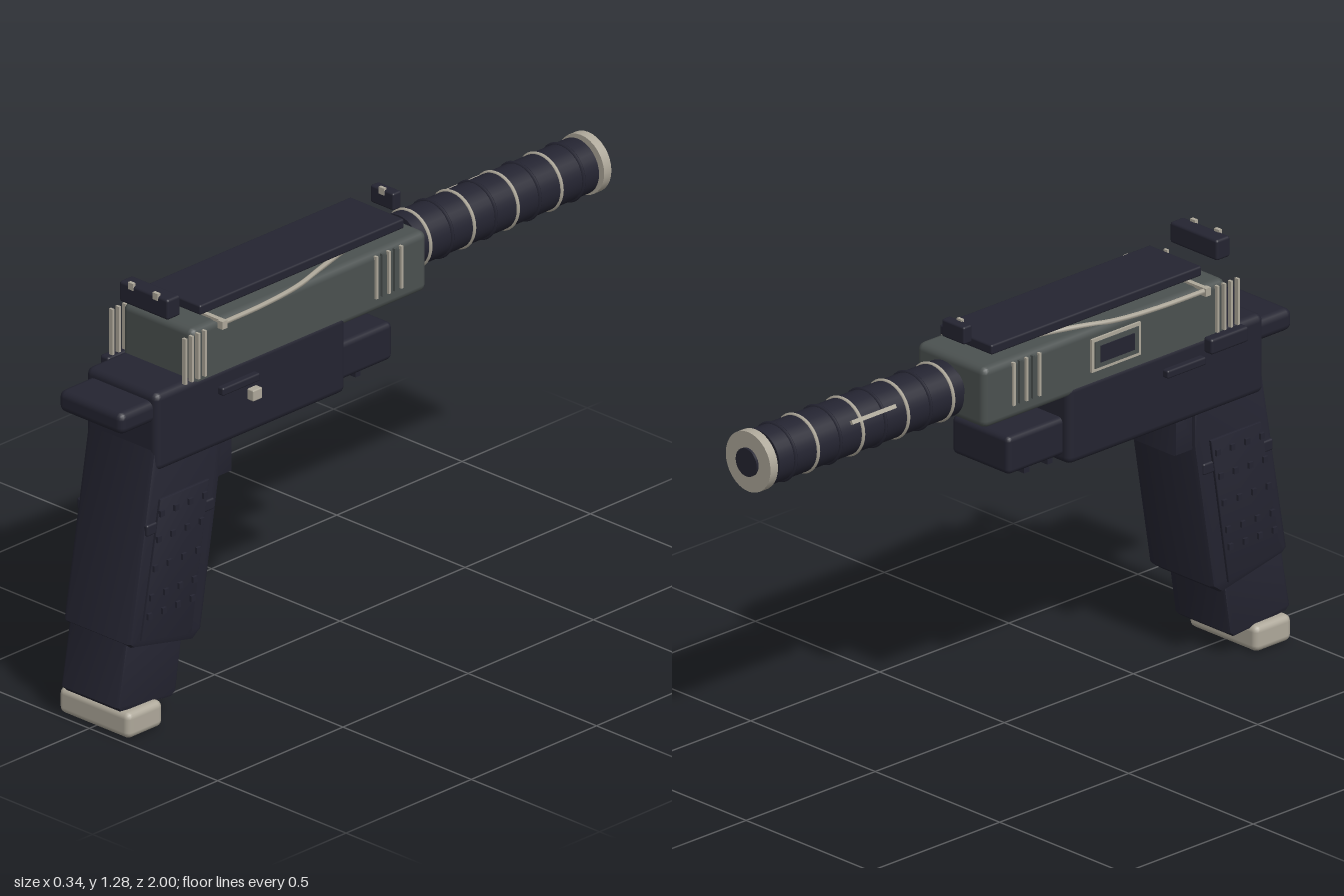
import * as THREE from 'three';
import { RoundedBoxGeometry } from 'three/addons/geometries/RoundedBoxGeometry.js';
import { toCreasedNormals } from 'three/addons/utils/BufferGeometryUtils.js';

const mat = (name, color) => {
  const m = new THREE.MeshStandardMaterial({ color });
  m.name = name;
  return m;
};

export function createModel() {
  const root = new THREE.Group();
  root.name = 'prop';
  const navy = mat('dark navy', 0x242431);
  const grey = mat('slate grey', 0x4b5150);
  const light = mat('warm light grey', 0xaea89a);

  const add = (name, geo, m) => {
    const mesh = new THREE.Mesh(geo, m);
    mesh.name = name;
    root.add(mesh);
    return mesh;
  };
  // Box from its limits on each axis, rounded when r is given
  const box = (name, m, [x0, x1], [y0, y1], [z0, z1], r = 0) => {
    const s = [x1 - x0, y1 - y0, z1 - z0];
    const g = r ? new RoundedBoxGeometry(...s, 2, r) : new THREE.BoxGeometry(...s);
    g.translate((x0 + x1) / 2, (y0 + y1) / 2, (z0 + z1) / 2);
    return add(name, g, m);
  };
  // Side profile of (z, y) points, extruded across x with a bevel
  const profile = (name, m, pts, x0, x1, b = 0.012) => {
    const shape = new THREE.Shape(pts.map(p => new THREE.Vector2(...p)));
    let g = new THREE.ExtrudeGeometry(shape, {
      depth: x1 - x0 - 2 * b, bevelEnabled: true, bevelThickness: b,
      bevelSize: b, bevelOffset: -b, bevelSegments: 2,
    });
    g.translate(0, 0, b - (x1 - x0) / 2);
    g.rotateY(-Math.PI / 2);
    g.translate((x0 + x1) / 2, 0, 0);
    return add(name, toCreasedNormals(g, 0.6), m);
  };
  // Cylinder along z on the barrel axis
  const axisY = 1.085;
  const tube = (name, m, r, z0, z1) => {
    const g = new THREE.CylinderGeometry(r, r, z1 - z0, 32);
    g.rotateX(Math.PI / 2);
    g.translate(0, axisY, (z0 + z1) / 2);
    return add(name, g, m);
  };
  // Small box standing out from one side
  const sideBox = (name, m, s, xIn, xOut, y, z, r) =>
    box(name, m, s > 0 ? [xIn, xOut] : [-xOut, -xIn], y, z, r);

  // Upper body
  box('slide', grey, [-0.138, 0.138], [0.99, 1.175], [-0.21, 0.73], 0.022);
  box('topPlate', navy, [-0.105, 0.105], [1.19, 1.22], [-0.15, 0.665], 0.006);
  box('rearSight', navy, [-0.095, 0.095], [1.21, 1.273], [0.732, 0.785], 0.008);
  box('rearSightBase', navy, [-0.105, 0.105], [1.19, 1.218], [0.62, 0.66], 0.006);
  box('frontSight', navy, [-0.045, 0.045], [1.217, 1.27], [-0.2, -0.167], 0.006);
  for (const x of [-0.048, 0.048])
    box('rearSightDot', light, [x - 0.01, x + 0.01], [1.26, 1.281], [0.776, 0.787]);
  box('frontSightDot', light, [-0.01, 0.01], [1.255, 1.276], [-0.175, -0.165]);

  // Frame and rail block
  box('frame', navy, [-0.14, 0.14], [0.785, 1.025], [0.115, 0.875], 0.022);
  box('rearTail', navy, [-0.125, 0.125], [0.933, 1.0], [0.8, 1.0], 0.022);
  box('railBlock', navy, [-0.115, 0.115], [0.81, 0.925], [-0.095, 0.15], 0.016);
  for (const z of [0.01, 0.1])
    box('railRidge', navy, [-0.08, 0.08], [0.78, 0.8 + 0.02], [z - 0.01, z + 0.01]);
  for (const z of [0.17, 0.23, 0.29])
    box('lowerRidge', navy, [-0.08, 0.08], [0.777, 0.8], [z - 0.01, z + 0.01]);
  profile('guardBlock', navy,
    [[0.55, 0.82], [0.55, 0.68], [0.64, 0.68], [0.64, 0.73], [0.72, 0.73], [0.72, 0.82]],
    -0.12, 0.12, 0.008);

  // Grip, magazine and foot
  profile('grip', navy,
    [[0.875, 0.85], [0.972, 0.285], [0.955, 0.27], [0.72, 0.22], [0.685, 0.245], [0.61, 0.7], [0.61, 0.85]],
    -0.133, 0.133, 0.016);
  profile('magazine', navy,
    [[0.955, 0.35], [1.0, 0.095], [0.985, 0.08], [0.785, 0.062], [0.768, 0.075], [0.73, 0.32]],
    -0.113, 0.113, 0.01);
  box('foot', light, [-0.138, 0.138], [0, 0.08], [0.843, 0.985], 0.02);
  box('gripBand', navy, [-0.138, 0.138], [0.6, 0.635], [0.64, 0.91], 0.006);

  // Details on both sides
  for (const s of [1, -1]) {
    const x0 = s > 0 ? 0.128 : -0.141;
    profile('gripPanel', navy,
      [[0.86, 0.7], [0.935, 0.29], [0.735, 0.25], [0.665, 0.7]], x0, x0 + 0.013, 0.003);
    for (const y of [0.66, 0.585, 0.5, 0.415, 0.36])
      for (let i = 0; i < 4; i++) {
        const z = 0.7 + i * 0.057 + (0.585 - y) * 0.165;
        sideBox('gripStud', navy, s, 0.135, 0.149, [y - 0.009, y + 0.009], [z - 0.008, z + 0.008]);
      }
    for (let i = 0; i < 5; i++) {
      const z = -0.1 + i * 0.025;
      sideBox('frontSerration', i % 2 ? grey : light, s, 0.135, 0.146, [1.035, 1.165], [z - 0.004, z + 0.004]);
    }
    for (let i = 0; i < 4; i++) {
      const z = 0.765 - i * 0.026;
      sideBox('rearSerration', light, s, 0.136, 0.149, [1.025, 1.165], [z - 0.004, z + 0.004]);
    }
    sideBox('sideLever', navy, s, 0.135, 0.16, [0.947, 0.972], [0.48, 0.63], 0.006);

    // Curved trim along the upper edge
    const path = new THREE.CatmullRomCurve3([
      [0.158, 1.173, 0.64], [0.146, 1.168, 0.45], [0.13, 1.17, 0.3], [0.105, 1.179, 0.18], [0.055, 1.18, 0.0],
    ].map(([x, y, z]) => new THREE.Vector3(s * x, y, z)));
    add('edgeTrim', new THREE.TubeGeometry(path, 24, 0.008, 6), light);
    sideBox('trimEnd', light, s, 0.148, 0.167, [1.158, 1.182], [0.62, 0.64]);
    sideBox('trimBridge', light, s, 0.05, 0.15, [1.172, 1.182], [0.62, 0.635]);
  }
  sideBox('button', light, 1, 0.135, 0.163, [0.893, 0.927], [0.475, 0.512], 0.004);
  sideBox('catch', navy, -1, 0.135, 0.17, [0.975, 1.022], [0.64, 0.785], 0.008);

  // Side port with a thin light border
  sideBox('portFrame', light, -1, 0.135, 0.145, [1.045, 1.145], [0.2, 0.39]);
  sideBox('portInset', grey, -1, 0.14, 0.148, [1.055, 1.135], [0.21, 0.38]);
  sideBox('portCore', navy, -1, 0.14, 0.151, [1.07, 1.12], [0.23, 0.36]);

  // Ringed barrel
  tube('barrelNeck', navy, 0.058, -0.25, -0.2);
  tube('barrel', navy, 0.083, -0.95, -0.235);
  tube('barrelCore', navy, 0.065, -0.97, -0.94);
  for (let i = 0; i < 8; i++) {
    const z = -0.277 - i * 0.0873;
    const ring = add('barrelRing', new THREE.TorusGeometry(0.083, 0.006, 6, 32), i % 2 ? navy : light);
    ring.position.set(0, axisY, z);
  }
  const strip = add('barrelStrip', new THREE.BoxGeometry(0.01, 0.012, 0.17), light);
  strip.position.set(-0.075, axisY + 0.044, -0.58);
  strip.rotation.z = -0.53;
  tube('endCap', light, 0.09, -0.992, -0.963);
  tube('muzzle', navy, 0.042, -1.0, -0.985);
  return root;
}
